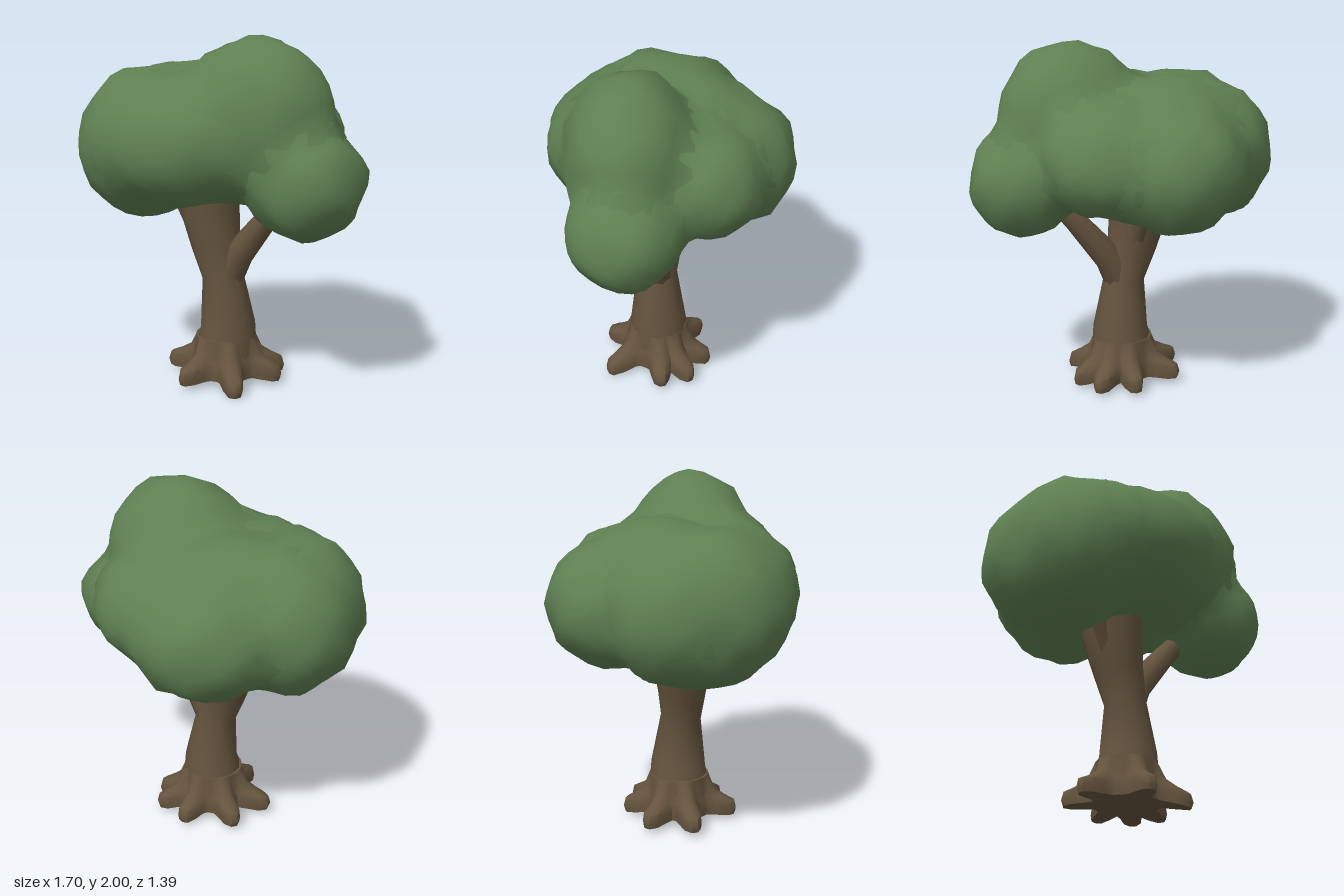
import * as THREE from 'three';
import { mergeVertices, toCreasedNormals } from 'three/addons/utils/BufferGeometryUtils.js';

// Leaf clumps: name, centre, radii
const CLUMPS = [
  ['lowLeftClump', [0.53, 1.24, 0.26], [0.31, 0.31, 0.31]],
  ['topClump', [0.24, 1.57, 0.23], [0.42, 0.42, 0.34]],
  ['rightClump', [-0.47, 1.36, 0.1], [0.37, 0.42, 0.43]],
  ['frontClump', [-0.15, 1.42, 0.3], [0.47, 0.35, 0.39]],
  ['backClump', [-0.08, 1.34, -0.34], [0.4, 0.35, 0.35]],
  ['backRightClump', [-0.46, 1.36, -0.14], [0.34, 0.36, 0.32]],
  ['backLeftClump', [0.26, 1.4, -0.16], [0.34, 0.31, 0.33]],
  ['middleClump', [-0.18, 1.45, -0.11], [0.42, 0.36, 0.34]],
].map(([name, c, r]) => ({
  name, c: new THREE.Vector3(...c), r: new THREE.Vector3(...r),
}));

// Blended field of all clumps: above 1 is inside the crown
function field(p) {
  const q = new THREE.Vector3();
  let sum = 0;
  for (const { c, r } of CLUMPS) sum += Math.exp(-9 * (q.copy(p).sub(c).divide(r).length() - 1));
  return sum;
}

// Outward direction of the blended crown at p
function fieldNormal(p) {
  const e = 0.01;
  const d = ['x', 'y', 'z'].map((axis) => {
    const a = p.clone(), b = p.clone();
    a[axis] -= e;
    b[axis] += e;
    return Math.log(field(a)) - Math.log(field(b));
  });
  return new THREE.Vector3(...d).normalize();
}

// Lumpy ball whose skin fillets into its neighbours
function clumpGeometry({ c, r }) {
  let geo = new THREE.IcosahedronGeometry(1, 4);
  geo.deleteAttribute('uv');
  geo.deleteAttribute('normal');
  geo = mergeVertices(geo, 1e-4);
  const pos = geo.attributes.position;
  const blended = [];
  const dir = new THREE.Vector3(), p = new THREE.Vector3();
  for (let i = 0; i < pos.count; i++) {
    dir.fromBufferAttribute(pos, i).normalize().multiply(r);
    let t = 0.99;
    do {
      t += 0.01;
      p.copy(c).addScaledVector(dir, t);
    } while (field(p) > 1 && t < 1.22);
    const n = fieldNormal(p);
    blended.push(n);
    const lump = Math.sin(p.x * 17 + p.y * 5) * Math.sin(p.y * 15 + 1) * Math.sin(p.z * 16 + p.x * 6);
    p.addScaledVector(n, 0.025 * lump);
    pos.setXYZ(i, p.x, p.y, p.z);
  }
  // Mix of own and blended normals for soft seams
  geo.computeVertexNormals();
  const nor = geo.attributes.normal;
  blended.forEach((n, i) => {
    n.add(p.fromBufferAttribute(nor, i)).normalize();
    nor.setXYZ(i, n.x, n.y, n.z);
  });
  return geo;
}

// Closed skin over rings of points, with a fan at each end
function skin(rings, startPoint, endPoint) {
  const sides = rings[0].length, last = rings.length - 1;
  const verts = [...rings.flat(), startPoint, endPoint].flatMap((v) => v.toArray());
  const start = rings.length * sides, index = [];
  for (let i = 0; i < sides; i++) {
    const k = (i + 1) % sides;
    for (let j = 0; j < last; j++) {
      const a = j * sides + i, b = j * sides + k;
      index.push(a, b, a + sides, b, b + sides, a + sides);
    }
    index.push(k, i, start, last * sides + i, last * sides + k, start + 1);
  }
  const geo = new THREE.BufferGeometry();
  geo.setAttribute('position', new THREE.Float32BufferAttribute(verts, 3));
  geo.setIndex(index);
  return toCreasedNormals(geo, 0.9);
}

// Upright limb through rings of [x, y, z, width radius, depth radius]
function limbGeometry(spec, sides) {
  const pts = spec.map(([x, y, z]) => new THREE.Vector3(x, y, z));
  const last = pts.length - 1;
  const rings = spec.map(([, , , ra, rb], j) => {
    const T = pts[Math.min(j + 1, last)].clone().sub(pts[Math.max(j - 1, 0)]).normalize();
    const N = new THREE.Vector3(0, 0, 1).cross(T).normalize();
    const B = T.clone().cross(N);
    return Array.from({ length: sides }, (_, i) => {
      const a = (i / sides) * Math.PI * 2;
      return pts[j].clone().addScaledVector(N, ra * Math.cos(a)).addScaledVector(B, rb * Math.sin(a));
    });
  });
  return skin(rings, pts[0], pts[last]);
}

// Root flare: a star of blunt toes webbed into the foot of the trunk
function rootGeometry(tips) {
  const sides = 60, foot = 0.17;
  const toes = tips.map(([x, z, drop]) => ({ a: Math.atan2(z, x), len: Math.hypot(x, z), drop }));
  // Each level: height, reach towards the star outline
  const levels = [[0.04, 0.94], [0.075, 1], [0.12, 0.93], [0.145, 0.6], [0.18, 0.25], [0.27, 0]];
  const rings = levels.map(([y, reach]) => Array.from({ length: sides }, (_, i) => {
    const a = -(i / sides) * Math.PI * 2;
    let out = 0.19, drop = 0;
    for (const toe of toes) {
      const d = Math.atan2(Math.sin(a - toe.a), Math.cos(a - toe.a));
      const lobe = Math.exp(-Math.pow(Math.abs(d) / 0.24, 3));
      out = Math.max(out, 0.19 + (toe.len - 0.19) * lobe);
      drop = Math.max(drop, toe.drop * lobe);
    }
    const r = foot + (out - foot) * reach;
    return new THREE.Vector3(r * Math.cos(a), y - drop * reach, 0.08 + r * Math.sin(a));
  }));
  return skin(rings, new THREE.Vector3(0, 0.04, 0.08), new THREE.Vector3(0, 0.27, 0.08));
}

export function createModel() {
  const leaf = new THREE.MeshStandardMaterial({ color: 0x5f8052 });
  leaf.name = 'leafGreen';
  const bark = new THREE.MeshStandardMaterial({ color: 0x65543e });
  bark.name = 'barkBrown';

  const tree = new THREE.Group();
  tree.name = 'tree';
  const add = (parent, name, geo, mat) => {
    const mesh = new THREE.Mesh(geo, mat);
    mesh.name = name;
    parent.add(mesh);
  };

  // Crown
  const crown = new THREE.Group();
  crown.name = 'crown';
  tree.add(crown);
  for (const clump of CLUMPS) add(crown, clump.name, clumpGeometry(clump), leaf);

  // Trunk, flaring at the foot and the fork
  add(tree, 'trunk', limbGeometry([
    [0.0, 0.06, 0.08, 0.18, 0.18], [0.0, 0.19, 0.08, 0.182, 0.178], [0.015, 0.33, 0.08, 0.157, 0.16],
    [-0.015, 0.62, 0.085, 0.118, 0.117], [-0.06, 0.8, 0.075, 0.142, 0.14],
    [-0.1, 1.0, 0.065, 0.168, 0.175], [-0.11, 1.17, 0.055, 0.19, 0.2],
  ], 12), bark);

  // Branches
  add(tree, 'leftBranch', limbGeometry([
    [0.0, 0.55, 0.085, 0.08, 0.09], [0.08, 0.75, 0.09, 0.085, 0.09],
    [0.28, 1.0, 0.15, 0.062, 0.065], [0.42, 1.16, 0.2, 0.05, 0.05],
  ], 9), bark);
  add(tree, 'rightBranch', limbGeometry([
    [-0.12, 0.82, 0.08, 0.08, 0.08], [-0.23, 1.02, 0.1, 0.06, 0.06], [-0.36, 1.2, 0.12, 0.05, 0.05],
  ], 8), bark);
  add(tree, 'backBranch', limbGeometry([
    [-0.04, 0.85, 0.02, 0.08, 0.08], [-0.03, 1.03, -0.07, 0.06, 0.06], [0.0, 1.22, -0.18, 0.05, 0.05],
  ], 8), bark);

  // Roots: tip x and z from the trunk centre, drop of the tip
  add(tree, 'roots', rootGeometry([
    [0.18, 0.31, 0.04], [0.335, -0.01, 0.02], [0.29, -0.19, 0.02], [0.1, -0.31, 0.02],
    [-0.22, -0.27, 0.01], [-0.36, -0.02, 0.01], [-0.16, 0.3, 0.01],
  ]), bark);
  return tree;
}
